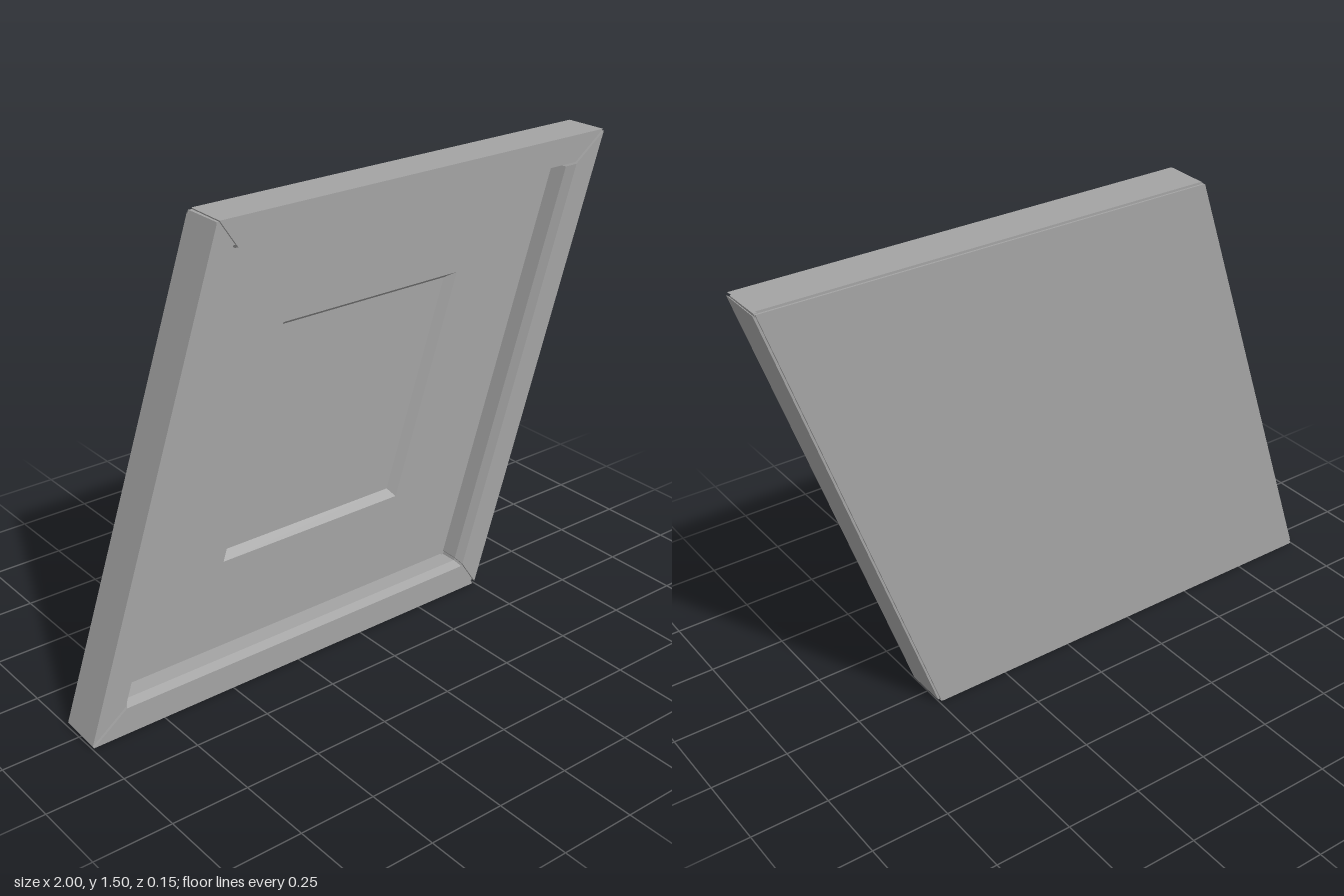
import * as THREE from 'three';

const HALF = 0.75, BACK = -0.069, FRONT = 0.075;

const grey = new THREE.MeshStandardMaterial({ color: 0xa3a3a3 });
grey.name = 'grey';

// Leans the upright square into a rhomboid standing on y = 0
const lean = new THREE.Matrix4().set(
  1, 1 / 3, 0, 0,
  0, 1, 0, HALF,
  0, 0, 1, 0,
  0, 0, 0, 1
);

// Skins a list of equal-length point loops, with flat caps at both ends
function loft(rings) {
  const pos = [];
  const tri = (a, b, c) => pos.push(...a, ...b, ...c);
  for (let r = 0; r < rings.length - 1; r++) {
    const p = rings[r], q = rings[r + 1], n = p.length;
    for (let i = 0; i < n; i++) {
      const j = (i + 1) % n;
      tri(p[i], p[j], q[j]);
      tri(p[i], q[j], q[i]);
    }
  }
  const first = rings[0], last = rings[rings.length - 1];
  for (let i = 1; i < first.length - 1; i++) {
    tri(first[0], first[i + 1], first[i]);
    tri(last[0], last[i], last[i + 1]);
  }
  const g = new THREE.BufferGeometry();
  g.setAttribute('position', new THREE.Float32BufferAttribute(pos, 3));
  return g;
}

// Mitred bar along the lower edge; profile points are [distance inward, z]
function barGeometry(profile, gap) {
  const end = (side) => profile.map(([d, z]) => [side * (HALF - d - gap(z)), d - HALF, z]);
  return loft([end(-1), end(1)]);
}

function finish(geometry, name) {
  geometry.applyMatrix4(lean);
  geometry.computeVertexNormals();
  const mesh = new THREE.Mesh(geometry, grey);
  mesh.name = name;
  return mesh;
}

export function createModel() {
  const model = new THREE.Group();
  model.name = 'leaningPanel';

  // Frame bars with a bevelled inner lip, and a core that closes the mitre grooves
  const barProfile = [[0, BACK], [0.1, BACK], [0.1, 0.045], [0.088, FRONT], [0, FRONT]];
  const coreProfile = [[0.006, BACK + 0.002], [0.095, BACK + 0.002], [0.095, 0.04], [0.083, 0.066], [0.006, 0.066]];
  const grooveGap = (z) => 0.007 + (FRONT - z) * 0.03;
  ['bottom', 'right', 'top', 'left'].forEach((side, i) => {
    const angle = i * Math.PI / 2;
    model.add(finish(barGeometry(barProfile, grooveGap).rotateZ(angle), side + 'FrameBar'));
    model.add(finish(barGeometry(coreProfile, () => 0).rotateZ(angle), side + 'FrameCore'));
  });

  // Panel with a back plate and a sunken field: [half width, half height, z]
  const steps = [
    [0.743, 0.743, -0.075],
    [0.743, 0.743, BACK],
    [0.67, 0.67, BACK],
    [0.67, 0.67, -0.015],
    [0.34, 0.36, -0.015],
    [0.32, 0.34, -0.045],
  ];
  const rings = steps.map(([w, h, z]) => [[-w, -h, z], [w, -h, z], [w, h, z], [-w, h, z]]);
  model.add(finish(loft(rings), 'recessedPanel'));

  return model;
}
